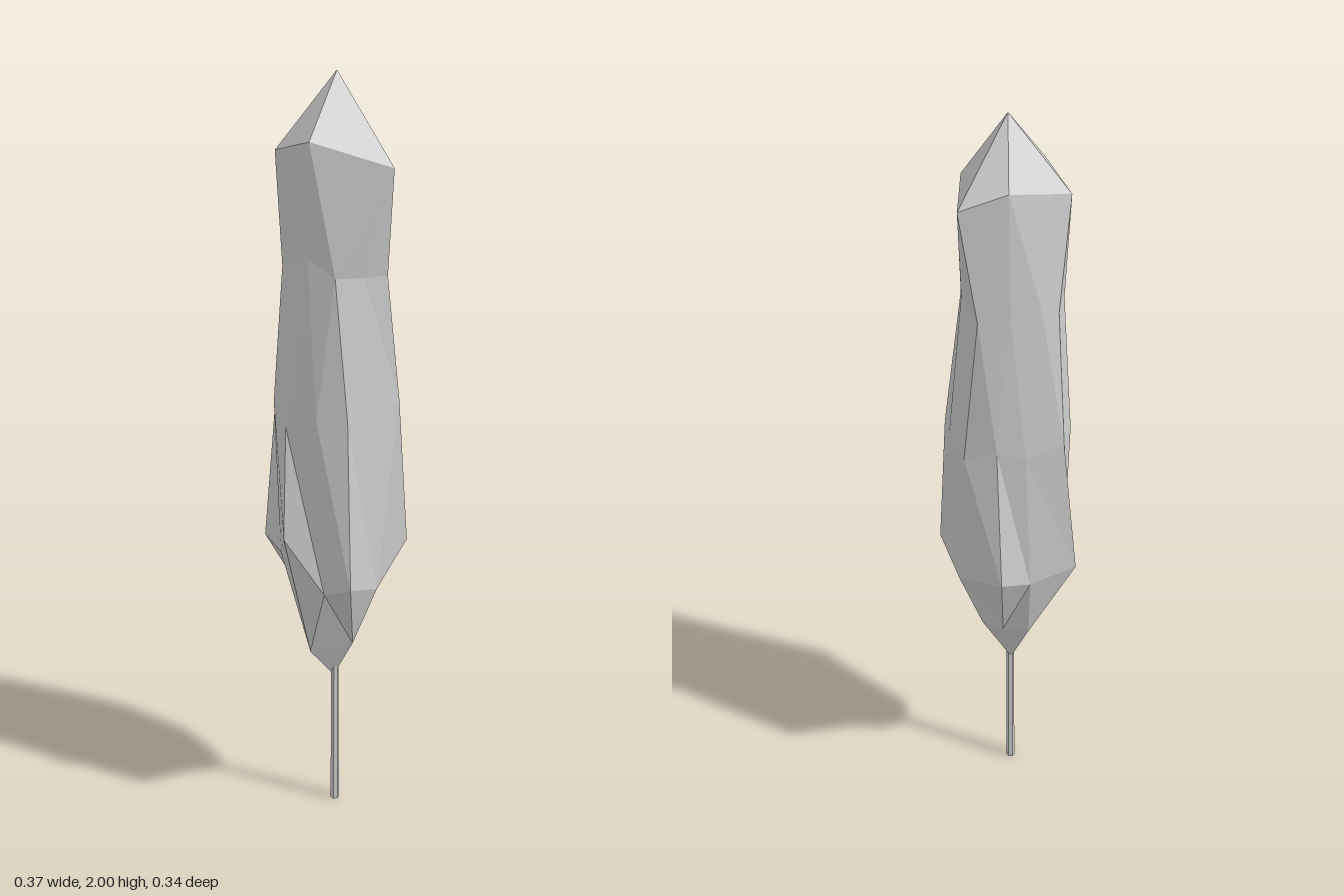
import * as THREE from 'three';

// Cross-sections of the foliage as [x, y, z], ordered around the trunk
const TOP = [0.01, 2, 0.005];
const SHOULDER = [
  [0.161, 1.8, 0.064], [-0.022, 1.86, 0.121], [-0.126, 1.82, 0.048],
  [-0.04, 1.86, -0.09], [0.058, 1.82, -0.143],
];
const NECK = [
  [0.095, 1.54, 0.07], [0.04, 1.55, 0.126], [-0.03, 1.59, 0.115], [-0.108, 1.55, 0.06],
  [-0.127, 1.55, -0.009], [-0.1, 1.58, -0.05], [-0.05, 1.56, -0.1], [0.015, 1.55, -0.138],
  [0.09, 1.57, -0.075], [0.135, 1.53, 0.005],
];
const MIDDLE = [
  [0.075, 1.2, 0.14], [0, 1.2, 0.15], [-0.088, 1.16, 0.115], [-0.14, 1.2, 0.045],
  [-0.157, 1.2, -0.028], [-0.088, 1.18, -0.097], [-0.03, 1.2, -0.135], [0.05, 1.17, -0.152],
  [0.122, 1.18, -0.095], [0.155, 1.19, -0.055],
];
const BELLY = [
  [0.122, 0.69, 0.02], [0.092, 0.76, 0.168], [0.015, 0.72, 0.138], [-0.085, 0.87, 0.153],
  [-0.127, 0.78, 0.05], [-0.184, 0.8, 0.004], [-0.1, 0.78, -0.09], [-0.06, 0.82, -0.171],
  [0.095, 0.74, -0.11], [0.183, 0.81, -0.05],
];
const BASE = [
  [0.06, 0.52, 0.025], [-0.04, 0.51, 0.08], [-0.075, 0.57, -0.045],
  [-0.01, 0.57, -0.067], [0.055, 0.56, -0.06],
];
const BOTTOM = [0.002, 0.4, 0.004];

// Joins the rings with the triangle pattern of a subdivided icosahedron
function foliageGeometry() {
  const positions = [];
  const tri = (...corners) => corners.forEach((p) => positions.push(...p));
  const at = (ring, i) => ring[(i + ring.length) % ring.length];

  // Crown and tapered base
  for (let k = 0; k < 5; k++) {
    const s0 = at(SHOULDER, k), s1 = at(SHOULDER, k + 1);
    const n = [0, 1, 2].map((i) => at(NECK, 2 * k + i));
    tri(TOP, s1, s0);
    tri(s0, n[1], n[0]);
    tri(s0, s1, n[1]);
    tri(s1, n[2], n[1]);

    const b0 = at(BASE, k), b1 = at(BASE, k + 1);
    const w = [1, 2, 3].map((i) => at(BELLY, 2 * k + i));
    tri(w[0], w[1], b0);
    tri(w[1], b1, b0);
    tri(w[1], w[2], b1);
    tri(b0, b1, BOTTOM);
  }

  // Long sides
  for (let j = 0; j < 10; j++) {
    const before = at(MIDDLE, j - 1), mid = at(MIDDLE, j);
    tri(at(NECK, j), at(NECK, j + 1), mid);
    tri(at(NECK, j), mid, before);
    tri(mid, at(BELLY, j + 1), at(BELLY, j));
    tri(before, mid, at(BELLY, j));
  }

  const geometry = new THREE.BufferGeometry();
  geometry.setAttribute('position', new THREE.Float32BufferAttribute(positions, 3));
  geometry.computeVertexNormals();
  return geometry;
}

export function createModel() {
  const group = new THREE.Group();
  group.name = 'slenderTree';
  const material = new THREE.MeshStandardMaterial({ color: 0xcccccc, flatShading: true });

  const foliage = new THREE.Mesh(foliageGeometry(), material);
  foliage.name = 'foliage';

  // Thin trunk, ending inside the foliage
  const trunk = new THREE.Mesh(new THREE.CylinderGeometry(0.01, 0.012, 0.45, 6), material);
  trunk.name = 'trunk';
  trunk.position.set(0.006, 0.225, 0.007);

  group.add(foliage, trunk);
  return group;
}
